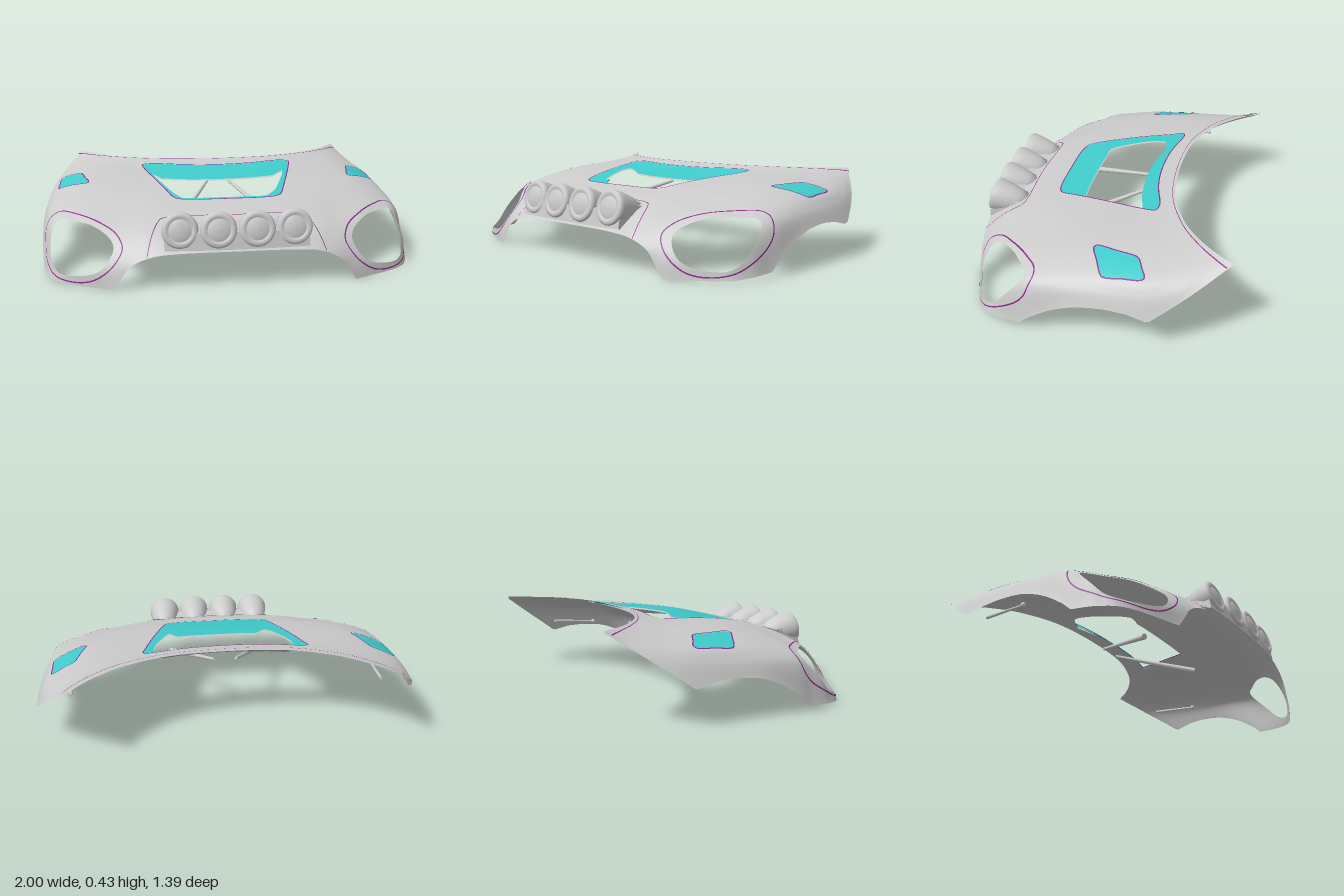
import * as THREE from 'three';

const mat = (color) => new THREE.MeshStandardMaterial({ color, side: THREE.DoubleSide });
const grey = mat(0xcccccc), teal = mat(0x40cccc), purple = mat(0x8a2a8a);

// Half cross-sections of the panel, centre line to outer edge, from the windscreen forward
const rearRows = [
  [[0, .435, -.315], [.3, .435, -.34], [.53, .433, -.425], [.67, .43, -.525], [.76, .428, -.62], [.81, .427, -.69]],
  [[0, .418, -.24], [.35, .418, -.265], [.62, .412, -.35], [.79, .39, -.44], [.88, .355, -.5], [.93, .3, -.53]],
  [[0, .405, -.15], [.4, .405, -.18], [.7, .395, -.25], [.88, .35, -.32], [.95, .29, -.34], [1, .175, -.35]],
  [[0, .395, 0], [.4, .39, 0], [.7, .375, 0], [.87, .335, -.02], [.95, .275, -.02], [.99, .19, -.02]],
];
const frontRows = [
  [[0, .37, .2], [.4, .365, .2], [.65, .345, .2], [.83, .31, .2], [.94, .25, .2], [.98, .11, .19]],
  [[0, .345, .32], [.38, .34, .32], [.6, .315, .32], [.78, .285, .32], [.92, .22, .31], [.97, .03, .29]],
  [[0, .32, .44], [.36, .315, .43], [.55, .29, .43], [.72, .26, .43], [.89, .175, .42], [.94, .02, .42]],
  [[0, .275, .56], [.36, .265, .55], [.52, .24, .54], [.66, .2, .53], [.8, .12, .54], [.86, .01, .53]],
  [[0, .195, .68], [.3, .19, .672], [.43, .17, .66], [.52, .125, .65], [.57, .058, .644], [.61, 0, .638]],
];
const rows = [...rearRows, ...frontRows];

// Smooth spline through a list of values fetched by index, continued straight past both ends
function spline(get, lo, hi, t) {
  const i = Math.min(Math.max(Math.floor(t), lo), hi - 1), f = t - i;
  const at = (k) => k < lo ? 2 * get(lo) - get(lo + 1) : k > hi ? 2 * get(hi) - get(hi - 1) : get(k);
  const a = at(i - 1), b = at(i), c = at(i + 1), d = at(i + 2);
  return b + .5 * f * (c - a + f * (2 * a - 5 * b + 4 * c - d + f * (3 * (b - c) + d - a)));
}
function surface(u, v) {
  const axis = (k) => spline((r) =>
    spline((c) => rows[r][Math.abs(c)][k] * (k === 0 && c < 0 ? -1 : 1), -5, 5, u), 0, 8, v);
  return new THREE.Vector3(axis(0), axis(1), axis(2));
}
// Straight-line interpolation in a list of [z, y]
function profileAt(points, z) {
  let i = 1;
  while (i < points.length - 1 && z > points[i][0]) i++;
  const [a, b] = [points[i - 1], points[i]];
  return a[1] + (b[1] - a[1]) * (z - a[0]) / (b[0] - a[0]);
}

// Grid over the panel, a little past its trimmed lower edge: position, normal, lengthwise parameter
const NU = 156, NV = 112, U = 5.3, grid = [];
for (let j = 0; j <= NV; j++) for (let i = 0; i <= NU; i++) {
  const u = U * (2 * i / NU - 1), v = 8 * j / NV, e = .01;
  const p = surface(u, v);
  const du = surface(u + e, v).sub(surface(u - e, v));
  const n = surface(u, v + e).sub(surface(u, v - e)).cross(du).normalize();
  grid.push([p.x, p.y, p.z, n.x, n.y, n.z, v]);
}

// Lower side edge with wheel arch
const sideEdge = [[-.69, .427], [-.34, .175], [-.24, .199], [-.14, .205], [-.06, .2], [0, .192], [.05, .177],
  [.1, .158], [.15, .133], [.2, .102], [.25, .066], [.29, .028], [.64, .002]];
const trim = (q) => Math.abs(q[0]) < .6 ? 1 : q[1] - profileAt(sideEdge, q[2]);

// Signed distance (negative inside) to a rounded outline, seen in plan or facing the headlamp
const plan = (q) => [Math.abs(q[0]), q[2]];
const facing = (q) => {
  const x = Math.abs(q[0]);
  return [.72 * x - .7 * q[2], -.35 * x + .87 * q[1] - .36 * q[2]];
};
function outline(points, project) {
  const curve = new THREE.CatmullRomCurve3(points.map(([x, y]) => new THREE.Vector3(x, y, 0)), true, 'centripetal');
  const pts = curve.getPoints(60);
  return (q) => {
    const [x, y] = project(q);
    let best = 1e9, inside = false;
    for (let i = 1; i < pts.length; i++) {
      const s = pts[i - 1], e = pts[i], dx = e.x - s.x, dy = e.y - s.y;
      const t = Math.min(1, Math.max(0, ((x - s.x) * dx + (y - s.y) * dy) / (dx * dx + dy * dy + 1e-12)));
      best = Math.min(best, (x - s.x - t * dx) ** 2 + (y - s.y - t * dy) ** 2);
      if ((s.y > y) !== (e.y > y) && x < s.x + dx * (y - s.y) / dy) inside = !inside;
    }
    return Math.sqrt(best) * (inside ? -1 : 1);
  };
}
const mirrored = (half) => [...half, ...half.filter((p) => p[0] > 0).reverse().map(([x, y]) => [-x, y])];

const lampHole = outline([[.6, .19, .56], [.62, .23, .51], [.72, .275, .41], [.82, .28, .335], [.875, .272, .285],
  [.905, .25, .285], [.93, .18, .35], [.925, .09, .45], [.88, .057, .52], [.78, .055, .57],
  [.67, .075, .59], [.62, .13, .585]].map(facing), facing);
const lampRim = outline([[.55, .19, .575], [.58, .24, .5], [.68, .28, .4], [.8, .295, .29], [.87, .293, .235],
  [.91, .27, .225], [.945, .2, .25], [.955, .15, .3], [.945, .09, .4], [.91, .05, .5], [.84, .04, .57],
  [.72, .04, .6], [.62, .08, .605], [.57, .14, .6]].map(facing), facing);
const scoopOuter = outline(mirrored([[0, -.22], [.2, -.235], [.4, -.278], [.435, -.265], [.43, -.22],
  [.31, .2], [.285, .265], [.25, .29], [0, .302]]), plan);
const scoopInner = outline(mirrored([[0, -.13], [.2, -.143], [.37, -.175], [.38, -.16],
  [.28, .14], [.265, .155], [0, .17]]), plan);
const ventOuter = outline([[.786, -.24], [.795, -.256], [.85, -.283], [.893, -.304], [.905, -.296], [.908, -.2],
  [.909, -.115], [.9, -.1], [.83, -.065], [.75, -.03], [.738, -.042], [.762, -.14]], plan);
const podPanel = outline(mirrored([[0, .47], [.345, .46], [.37, .475], [.44, .66], [.46, .8], [0, .9]]), plan);

// Part of the panel where every keep function is positive, shifted along the normal
function patch(name, material, keep, offset = () => 0) {
  const pos = [], nor = [];
  const cut = (poly, fn) => {
    const d = poly.map(fn), out = [];
    poly.forEach((a, i) => {
      const k = (i + 1) % poly.length;
      if (d[i] >= 0) out.push(a);
      if ((d[i] >= 0) !== (d[k] >= 0)) {
        const t = d[i] / (d[i] - d[k]);
        out.push(a.map((w, m) => w + t * (poly[k][m] - w)));
      }
    });
    return out;
  };
  const emit = (q) => {
    const o = offset(q);
    pos.push(q[0] + q[3] * o, q[1] + q[4] * o, q[2] + q[5] * o);
    nor.push(q[3], q[4], q[5]);
  };
  for (let j = 0; j < NV; j++) for (let i = 0; i < NU; i++) {
    const k0 = j * (NU + 1) + i, k1 = k0 + NU + 1;
    const a = grid[k0], b = grid[k0 + 1], c = grid[k1], d = grid[k1 + 1];
    for (let poly of [[a, c, b], [b, c, d]]) {
      for (const fn of keep) if (poly.length) poly = cut(poly, fn);
      for (let k = 2; k < poly.length; k++) [poly[0], poly[k - 1], poly[k]].forEach(emit);
    }
  }
  const g = new THREE.BufferGeometry();
  g.setAttribute('position', new THREE.Float32BufferAttribute(pos, 3));
  g.setAttribute('normal', new THREE.Float32BufferAttribute(nor, 3));
  return named(name, g, material);
}
function named(name, geometry, material = grey) {
  const m = new THREE.Mesh(geometry, material);
  m.name = name;
  return m;
}
const not = (f) => (q) => -f(q);
const ramp = (f, depth, width) => (q) => -depth * Math.min(1, Math.max(0, -f(q) / width));
const seam = (name, f, w = .003) =>
  patch(name, purple, [trim, (q) => f(q) + w, (q) => w - f(q)], () => .002);

// Tapered round bar between two points
function rod(name, from, to, r1, r2) {
  const a = new THREE.Vector3(...from), dir = new THREE.Vector3(...to).sub(a);
  const m = named(name, new THREE.CylinderGeometry(r2, r1, dir.length(), 12));
  m.position.copy(a).addScaledVector(dir, .5);
  m.quaternion.setFromUnitVectors(new THREE.Vector3(0, 1, 0), dir.normalize());
  return m;
}

export function createModel() {
  const model = new THREE.Group();
  model.name = 'bonnet';

  // Main panel with its openings, sunk slightly around the lamps
  model.add(patch('panel', grey, [trim, lampHole, scoopOuter, ventOuter], ramp(lampRim, .008, .02)));

  // Scoop frame and side vents
  const scoopRamp = ramp(scoopOuter, .055, .085), ventRamp = ramp(ventOuter, .015, .025);
  model.add(patch('scoopFrame', teal, [not(scoopOuter), scoopInner], scoopRamp));
  model.add(patch('sideVents', teal, [not(ventOuter)], ventRamp));

  // Inner skin lining the underside
  model.add(patch('innerSkin', grey, [trim, lampHole, scoopInner],
    (q) => scoopRamp(q) + ventRamp(q) - .009));

  // Seams
  model.add(seam('lampSeams', lampRim), seam('scoopSeam', scoopOuter), seam('ventSeams', ventOuter),
    seam('podSeam', podPanel, .002), seam('rearSeam', (q) => q[6] - .15, .016));

  // Row of four spot lamps: bullet housing, soft rim and lens in one profile, seated on the panel
  const profile = [[0, 0], [.03, .006], [.05, .02], [.066, .05], [.079, .1], [.087, .15], [.09, .178],
    [.087, .192], [.078, .199], [.063, .201], [.058, .193], [.054, .197], [.03, .203], [0, .205]];
  const seat = [[.44, .32], [.5, .3], [.56, .275], [.62, .24], [.68, .195]];
  for (const x of [-.28, -.094, .094, .28]) {
    const g = new THREE.LatheGeometry(profile.map(([r, h]) => new THREE.Vector2(r, h)), 40);
    g.rotateX(Math.PI / 2 - .22).translate(x, .255, .483 - .2 * x * x);
    const p = g.attributes.position;
    for (let i = 0; i < p.count; i++) p.setY(i, Math.max(p.getY(i), profileAt(seat, p.getZ(i) + .12 * x * x)));
    model.add(named('spotLamp', g));
  }

  // Pod base under the lamps, bowed to follow the nose
  const side = new THREE.Shape([[.52, .296], [.6, .3], [.668, .285], [.684, .2], [.676, .198], [.56, .276]]
    .map(([z, y]) => new THREE.Vector2(-z, y)));
  const base = new THREE.ExtrudeGeometry(side, { depth: .71, steps: 14, bevelEnabled: false });
  base.rotateY(Math.PI / 2).translate(-.355, 0, 0);
  const bp = base.attributes.position;
  for (let i = 0; i < bp.count; i++) bp.setZ(i, bp.getZ(i) - .14 * bp.getX(i) ** 2);
  base.computeVertexNormals();
  model.add(named('lampPodBase', base));

  // Underside: scoop arms, and hinge struts with ball ends
  for (const s of [-1, 1]) {
    model.add(rod('scoopArm', [s * .263, .206, .218], [s * .06, .328, -.196], .016, .008));
    model.add(rod('hingeStrut', [s * .83, .238, -.123], [s * .81, .257, -.39], .006, .009));
    const ball = named('hingeBall', new THREE.SphereGeometry(.014, 12, 8));
    ball.position.set(s * .83, .238, -.123);
    model.add(ball);
  }
  return model;
}
